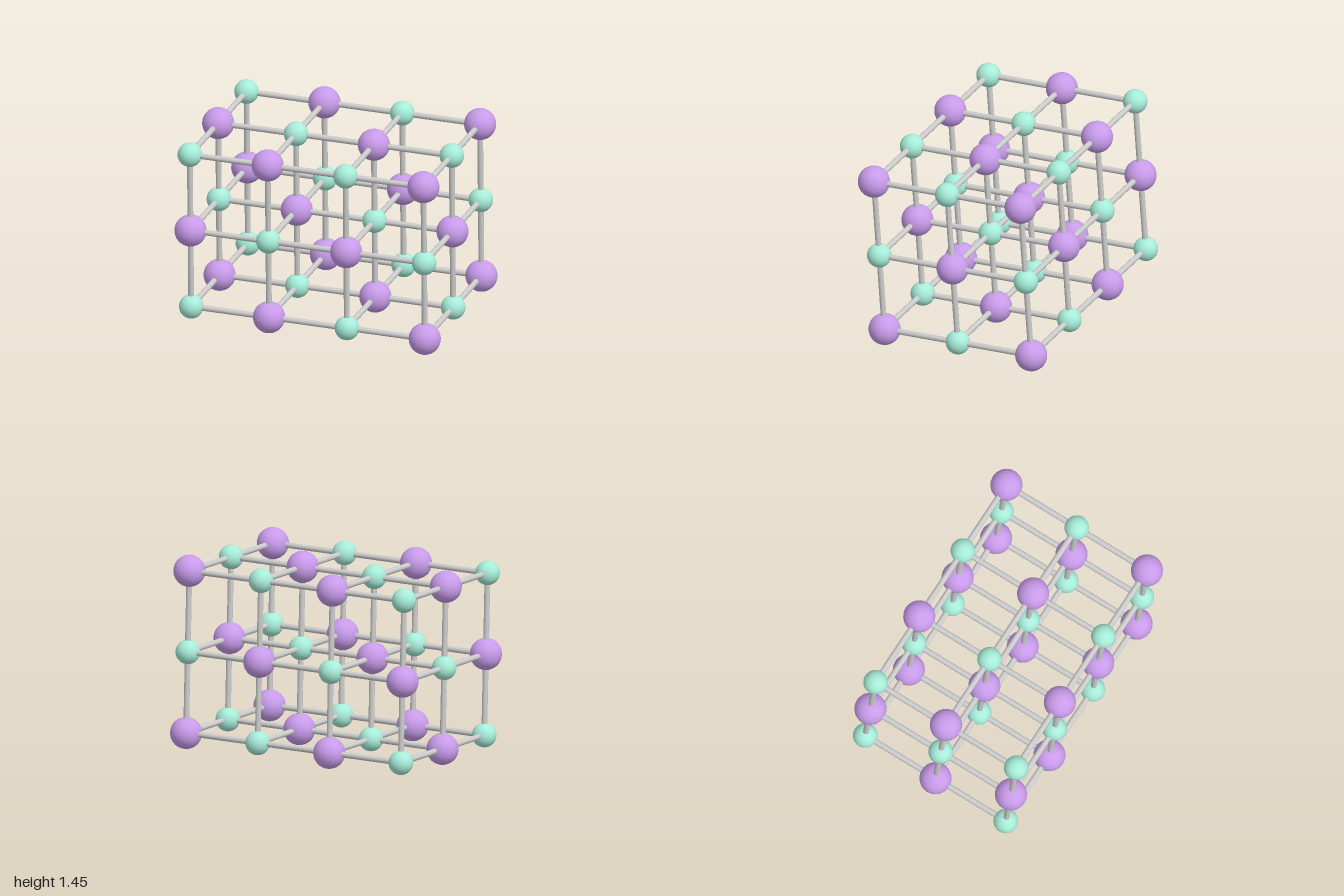
import * as THREE from 'three';

const COUNT = [4, 3, 3];   // ions along x, y, z
const STEP = 0.571;        // spacing between neighbours
const ROD_RADIUS = 0.02;

export function createModel() {
  const model = new THREE.Group();
  model.name = 'ionicLattice';

  const purple = new THREE.MeshStandardMaterial({ color: 0xc89bea });
  const teal = new THREE.MeshStandardMaterial({ color: 0xa6ecd8 });
  const grey = new THREE.MeshStandardMaterial({ color: 0xcccccc });
  const largeBall = new THREE.SphereGeometry(0.111, 32, 20);
  const smallBall = new THREE.SphereGeometry(0.085, 32, 20);
  const rod = new THREE.CylinderGeometry(ROD_RADIUS, ROD_RADIUS, STEP, 16);

  // The whole lattice is tilted slightly about all three axes
  const lattice = new THREE.Group();
  lattice.name = 'lattice';
  const right = new THREE.Vector3(0.572, -0.0085, -0.029).normalize();
  const up = new THREE.Vector3(0.0085, 0.568, 0.0365);
  up.addScaledVector(right, -up.dot(right)).normalize();
  const front = new THREE.Vector3().crossVectors(right, up);
  lattice.quaternion.setFromRotationMatrix(new THREE.Matrix4().makeBasis(right, up, front));
  lattice.position.set(0, 0.731, 0.007);
  model.add(lattice);

  const node = (index) => new THREE.Vector3(
    ...index.map((n, axis) => (n - (COUNT[axis] - 1) / 2) * STEP));

  const add = (name, geometry, material, position) => {
    const mesh = new THREE.Mesh(geometry, material);
    mesh.name = name;
    mesh.position.copy(position);
    lattice.add(mesh);
    return mesh;
  };

  const axes = [
    new THREE.Vector3(1, 0, 0),
    new THREE.Vector3(0, 1, 0),
    new THREE.Vector3(0, 0, 1),
  ];
  const yAxis = axes[1];

  for (let i = 0; i < COUNT[0]; i++) {
    for (let j = 0; j < COUNT[1]; j++) {
      for (let k = 0; k < COUNT[2]; k++) {
        const index = [i, j, k];
        const centre = node(index);

        // Large and small ions alternate in every direction
        if ((i + j + k) % 2) add('largeIon', largeBall, purple, centre);
        else add('smallIon', smallBall, teal, centre);

        // Bonds to the next ion along each axis
        axes.forEach((dir, axis) => {
          if (index[axis] + 1 >= COUNT[axis]) return;
          const middle = centre.clone().addScaledVector(dir, STEP / 2);
          add('bond', rod, grey, middle).quaternion.setFromUnitVectors(yAxis, dir);
        });
      }
    }
  }
  return model;
}
